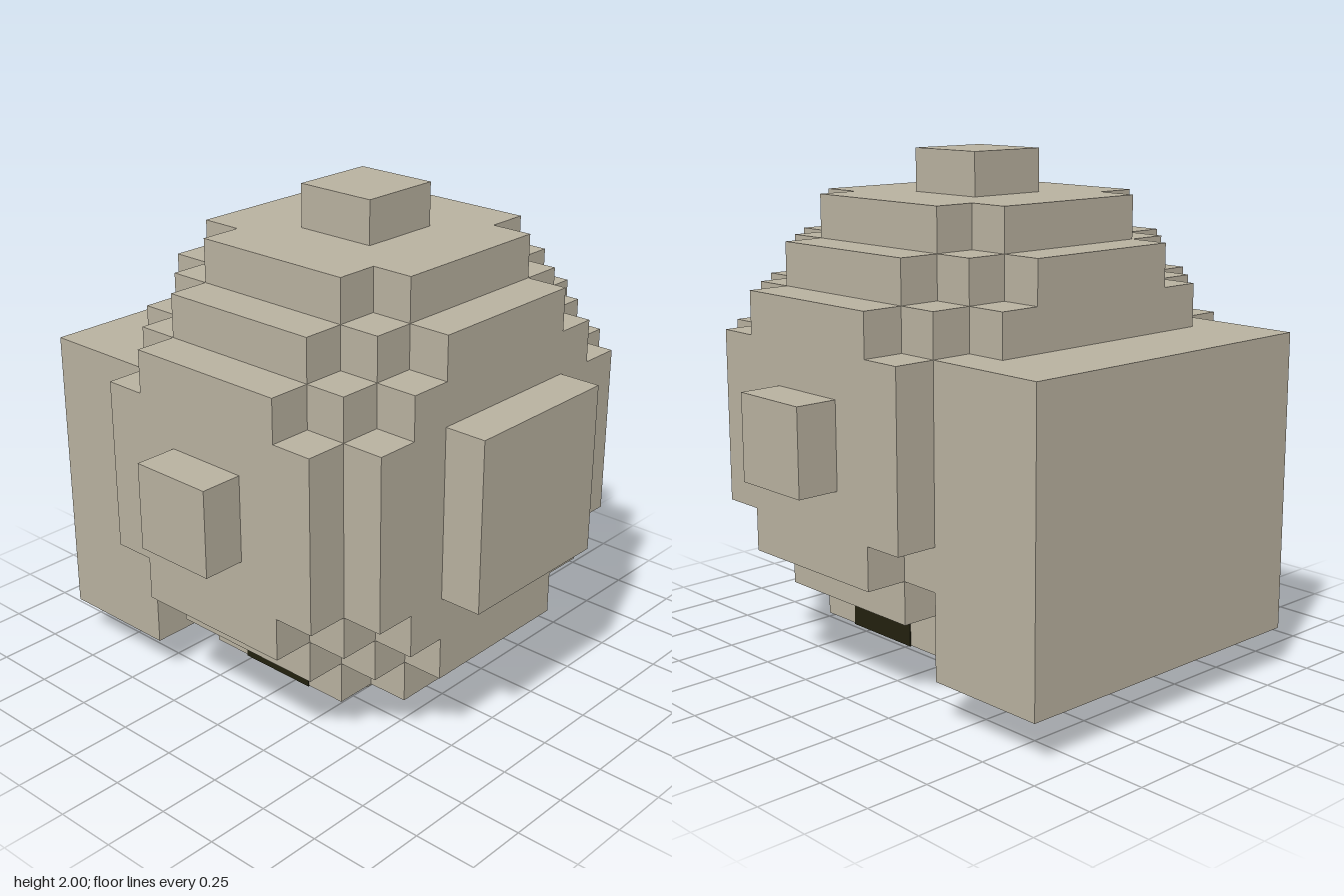
import * as THREE from 'three';

const U = 1 / 6; // one block

export function createModel() {
  const group = new THREE.Group();
  const stone = new THREE.MeshStandardMaterial({ color: 0xb9b2a0 });
  stone.name = 'warm grey stone';
  const dark = new THREE.MeshStandardMaterial({ color: 0x23210f });
  dark.name = 'dark olive';

  // all sizes below are in blocks, measured from the centre of the round body
  const body = new THREE.Group();
  body.name = 'blockModel';
  body.scale.setScalar(U);
  body.position.set(0, 1, U / 2);
  group.add(body);

  function add(name, geometry, material) {
    const mesh = new THREE.Mesh(geometry, material);
    mesh.name = name;
    body.add(mesh);
    return mesh;
  }

  function box(name, [x0, x1], [y0, y1], [z0, z1], material = stone) {
    const geometry = new THREE.BoxGeometry(x1 - x0, y1 - y0, z1 - z0);
    geometry.translate((x0 + x1) / 2, (y0 + y1) / 2, (z0 + z1) / 2);
    return add(name, geometry, material);
  }

  // stepped round outline from the outer corners of one quarter
  function steppedShape(corners) {
    const quarter = [];
    corners.forEach(([x, y], i) => {
      quarter.push([x, y]);
      if (i < corners.length - 1) quarter.push([corners[i + 1][0], y]);
    });
    const flipped = quarter.slice().reverse();
    const points = [
      ...quarter,
      ...flipped.map(([x, y]) => [-x, y]),
      ...quarter.map(([x, y]) => [-x, -y]),
      ...flipped.map(([x, y]) => [x, -y]),
    ];
    return new THREE.Shape(points.map(([x, y]) => new THREE.Vector2(x, y)));
  }

  function slab(name, corners, z0, z1) {
    const geometry = new THREE.ExtrudeGeometry(steppedShape(corners), { depth: z1 - z0, bevelEnabled: false });
    geometry.translate(0, 0, z0);
    add(name, geometry, stone);
  }

  // round body, sliced from back to front
  const inner = [[5, 2], [4, 3], [3, 4], [2, 5]];
  const outer = [[4, 2], [3, 3], [2, 4]];
  slab('bodyMiddle', [[5, 3], [4, 4], [3, 5]], -2, 2);
  slab('bodyInnerFront', inner, 2, 3);
  slab('bodyInnerBack', inner, -3, -2);
  slab('bodyOuterFront', outer, 3, 4);
  slab('bodyOuterBack', outer, -4, -3);

  // front pad and big rear block
  box('frontPad', [-2, 2], [-2, 2], [4, 5]);
  box('rearBlock', [-4, 4], [-5, 2], [-6, -3]);

  // knobs on the top, bottom and sides
  box('topKnob', [-1, 1], [5, 6], [-1, 1]);
  box('bottomKnob', [-1, 1], [-6, -5], [-1, 1]);
  box('leftKnob', [5, 6], [-1, 1], [-1, 1]);
  box('rightKnob', [-6, -5], [-1, 1], [-1, 1]);

  // dark panels on the underside, wrapping up its left and right edges
  const t = 0.02;
  for (const s of [-1, 1]) {
    const range = (a, b) => (s > 0 ? [a, b] : [-b, -a]);
    box('undersidePanel', range(1, 3 + t), [-5 - t, -5 + t], [-1, 1], dark);
    box('undersideEdgePanel', range(3 - t, 3 + t), [-5 - t, -4], [-1, 1], dark);
  }
  box('rearUndersidePanel', [-1, 1], [-5 - t, -5 + t], [-3, -2], dark);

  return group;
}
